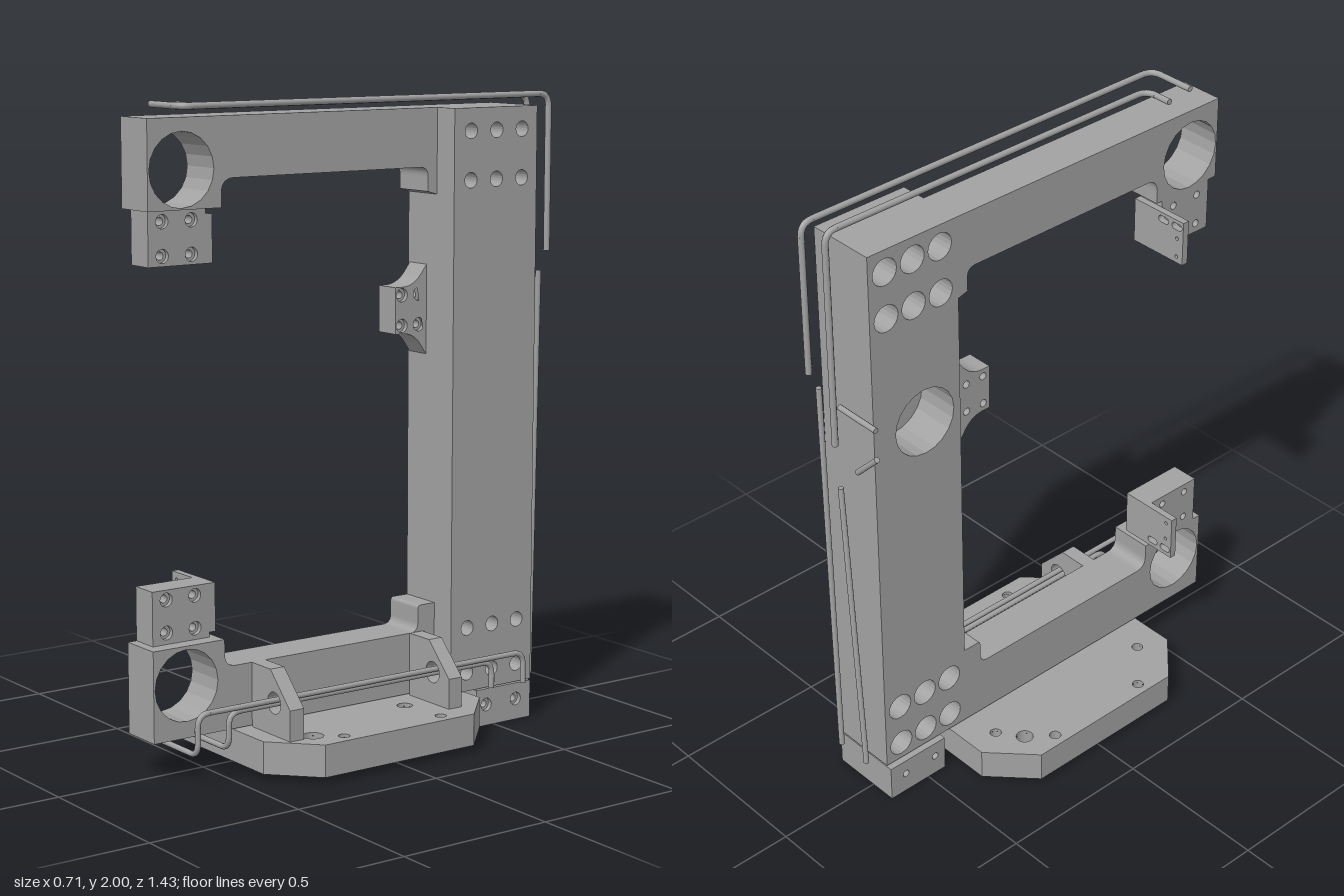
import * as THREE from 'three';
import { mergeGeometries } from 'three/addons/utils/BufferGeometryUtils.js';

const metal = new THREE.MeshStandardMaterial({ color: 0xa2a2a2, side: THREE.DoubleSide });
metal.name = 'machined grey metal';

// Outline from [a, b, fillet radius] corners, with round holes [a, b, r]
function outline(points, holes = []) {
  const s = new THREE.Shape();
  const n = points.length;
  points.forEach(([x, y, r = 0], i) => {
    const p = new THREE.Vector2(x, y);
    const toward = (q) => new THREE.Vector2(q[0], q[1]).sub(p).normalize().multiplyScalar(r).add(p);
    const a = toward(points[(i + n - 1) % n]);
    const b = toward(points[(i + 1) % n]);
    if (i === 0) s.moveTo(a.x, a.y); else s.lineTo(a.x, a.y);
    if (r) s.quadraticCurveTo(x, y, b.x, b.y);
  });
  s.closePath();
  for (const [x, y, r] of holes) {
    s.holes.push(new THREE.Path().absarc(x, y, r, 0, Math.PI * 2, true));
  }
  return s;
}
const rect = (a0, a1, b0, b1) => [[a0, b0], [a1, b0], [a1, b1], [a0, b1]];
const extrude = (shape, depth) =>
  new THREE.ExtrudeGeometry(shape, { depth, bevelEnabled: false, curveSegments: 10 });

// Side profile (z, y) extruded from x0 to x1
const alongX = (shape, x0, x1) => extrude(shape, x1 - x0).rotateY(-Math.PI / 2).translate(x1, 0, 0);
// Front profile (x, y) extruded from z0 to z1
const alongZ = (shape, z0, z1) => extrude(shape, z1 - z0).translate(0, 0, z0);
// Plan profile (x, -z) extruded from y0 to y1
const alongY = (shape, y0, y1) => extrude(shape, y1 - y0).rotateX(-Math.PI / 2).translate(0, y0, 0);

// Block with counterbored holes opening on its +x face
function boredBlock(points, x0, x1, holes) {
  const step = x1 - 0.015;
  return mergeGeometries([
    alongX(outline(points, holes.map(([a, b]) => [a, b, 0.012])), x0, step),
    alongX(outline(points, holes.map(([a, b]) => [a, b, 0.021])), step, x1),
  ]);
}

// Round pipe through corner points with smooth bends
function pipe(corners, radius = 0.01, bend = 0.04) {
  const pts = corners.map((c) => new THREE.Vector3(...c));
  const parts = [];
  const rod = (a, b) => {
    const d = b.clone().sub(a);
    const g = new THREE.CylinderGeometry(radius, radius, d.length(), 10);
    g.applyQuaternion(new THREE.Quaternion().setFromUnitVectors(new THREE.Vector3(0, 1, 0), d.clone().normalize()));
    parts.push(g.translate(...a.clone().add(b).multiplyScalar(0.5).toArray()));
  };
  let start = pts[0];
  for (let i = 1; i < pts.length - 1; i++) {
    const near = (q) => q.clone().sub(pts[i]).setLength(bend).add(pts[i]);
    const a = near(pts[i - 1]);
    const b = near(pts[i + 1]);
    rod(start, a);
    parts.push(new THREE.TubeGeometry(new THREE.QuadraticBezierCurve3(a, pts[i], b), 8, radius, 10));
    start = b;
  }
  rod(start, pts[pts.length - 1]);
  return mergeGeometries(parts);
}

export function createModel() {
  const model = new THREE.Group();
  const add = (name, geometry) => {
    const mesh = new THREE.Mesh(geometry, metal);
    mesh.name = name;
    model.add(mesh);
  };

  // Screw pattern shared by the column's two layers
  const screws = [];
  for (const z of [-0.39, -0.49, -0.59]) {
    for (const y of [0.185, 0.33, 1.735, 1.885]) screws.push([z, y]);
  }

  // C-shaped frame with bores at the arm ends and in the column
  const frame = [
    [-0.65, 0.125], [0.715, 0.125], [0.715, 0.405], [0.465, 0.405],
    [0.465, 0.32, 0.04], [-0.26, 0.32, 0.03], [-0.26, 0.405, 0.012], [-0.325, 0.405],
    [-0.325, 1.69], [-0.29, 1.70], [-0.29, 1.775, 0.03],
    [0.465, 1.775, 0.045], [0.465, 1.69], [0.715, 1.69], [0.715, 1.955], [-0.65, 1.955],
  ];
  add('cFrame', alongX(outline(frame, [
    [0.6, 1.805, 0.11], [0.6, 0.285, 0.11], [-0.46, 1.33, 0.11],
    ...screws.map(([z, y]) => [z, y, 0.043]),
  ]), -0.072, 0.07));

  // Reinforcing slab on the column's left side
  add('columnSlab', alongX(outline(rect(-0.65, -0.325, 0.125, 1.955),
    screws.map(([z, y]) => [z, y, 0.024])), 0.07, 0.155));

  // Sensor bracket on the inner side of the column
  add('columnBracket', boredBlock([
    [-0.325, 1.19], [-0.275, 1.26, 0.045], [-0.205, 1.26], [-0.205, 1.405],
    [-0.275, 1.405, 0.045], [-0.325, 1.47],
  ], -0.065, 0.02, [[-0.23, 1.38], [-0.295, 1.38], [-0.23, 1.285], [-0.295, 1.285]]));

  // Jaw blocks facing each other, each with a slotted tab plate
  for (const [name, y0, y1, tab0, tab1, flip] of [
    ['upper', 1.525, 1.69, 1.525, 1.67, 1], ['lower', 0.405, 0.57, 0.42, 0.57, -1],
  ]) {
    const mid = flip > 0 ? 1.605 : 0.49;
    const holes = [];
    for (const z of [0.637, 0.537]) for (const s of [-1, 1]) holes.push([z, mid + s * 0.05]);
    add(name + 'JawBlock', boredBlock(rect(0.487, 0.685, y0, y1), -0.072, 0.02, holes));
    const mid2 = (tab0 + tab1) / 2;
    const plate = outline(rect(-0.185, 0.02, tab0, tab1),
      [[-0.16, mid2 + flip * 0.01, 0.006], [-0.16, mid2 - flip * 0.052, 0.006]]);
    for (const x of [-0.158, -0.102]) {
      const y = mid2 + flip * 0.05;
      const slot = new THREE.Path();
      slot.absarc(x - 0.01, y, 0.011, Math.PI * 1.5, Math.PI / 2, true);
      slot.absarc(x + 0.01, y, 0.011, Math.PI / 2, -Math.PI / 2, true);
      slot.closePath();
      plate.holes.push(slot);
    }
    add(name + 'TabPlate', alongZ(plate, 0.465, 0.487));
  }

  // Hollow eight-sided base plate with hole sleeves
  const octagon = (k) => [
    [-0.22, 0.39], [-0.355, 0.26], [-0.355, -0.3], [-0.22, -0.43],
    [0.22, -0.43], [0.355, -0.3], [0.355, 0.26], [0.22, 0.39],
  ].map(([x, y]) => [x * k, (y + 0.02) * k - 0.02]);
  const baseHoles = [
    [-0.255, 0.24, 0.027], [-0.18, 0.295, 0.018], [-0.315, 0.165, 0.018], [0.31, 0.165, 0.018],
    [0.18, 0.295, 0.018], [0.155, 0.145, 0.025], [-0.315, -0.2, 0.018], [-0.18, -0.33, 0.018],
    [0.31, -0.2, 0.018], [0.255, -0.275, 0.033],
  ];
  add('baseTop', alongY(outline(octagon(1), baseHoles), 0.11, 0.12));
  const wall = outline(octagon(1));
  wall.holes.push(outline(octagon(0.98)));
  add('baseWall', alongY(wall, 0.02, 0.11));
  for (const [x, y, r] of baseHoles) {
    add('baseHoleSleeve', new THREE.CylinderGeometry(r, r, 0.09, 16, 1, true).translate(x, 0.065, -y));
  }

  // Foot block under the column
  add('footBlock', boredBlock(rect(-0.65, -0.43, 0, 0.12), -0.09, 0.155, [[-0.47, 0.068], [-0.59, 0.068]]));

  // Gusset brackets that hold the lower pipes
  const gusset = outline([[0.07, 0.12], [0.27, 0.12], [0.27, 0.215], [0.168, 0.32], [0.07, 0.32]],
    [[0.187, 0.22, 0.034]]);
  for (const z of [-0.278, 0.318]) add('gussetBracket', alongZ(gusset, z, z + 0.05));

  // Pipes over the upper arm and down the back
  add('upperOuterPipe', pipe([[-0.02, 1.99, 0.645], [0.143, 1.99, 0.645], [0.143, 1.99, -0.705], [0.143, 1.5, -0.705]]));
  add('upperInnerPipe', pipe([[-0.03, 1.985, 0.548], [0.067, 1.985, 0.548], [0.067, 1.985, -0.682], [0.067, 1.28, -0.682]]));

  // Pipes along the lower arm
  add('lowerOuterPipe', pipe([
    [-0.02, 0.105, 0.64], [0.19, 0.105, 0.64], [0.19, 0.23, 0.64], [0.19, 0.23, -0.59], [0.19, 0.13, -0.59]], 0.009));
  add('lowerInnerPipe', pipe([
    [-0.02, 0.105, 0.525], [0.18, 0.105, 0.525], [0.18, 0.215, 0.525], [0.18, 0.215, -0.47], [0.18, 0.13, -0.47]], 0.009));

  // Slanted pipes and stubs on the back of the column
  add('backPipe', pipe([[0.14, 1.44, -0.675], [0.1, 0.13, -0.69]], 0.009));
  add('backPipe', pipe([[0.06, 1.13, -0.675], [-0.02, 0.13, -0.69]], 0.009));
  add('backStub', pipe([[-0.12, 1.425, -0.68], [0.04, 1.425, -0.68]], 0.009));
  add('backStub', pipe([[-0.12, 1.325, -0.68], [-0.03, 1.235, -0.68]], 0.009));

  return model;
}
